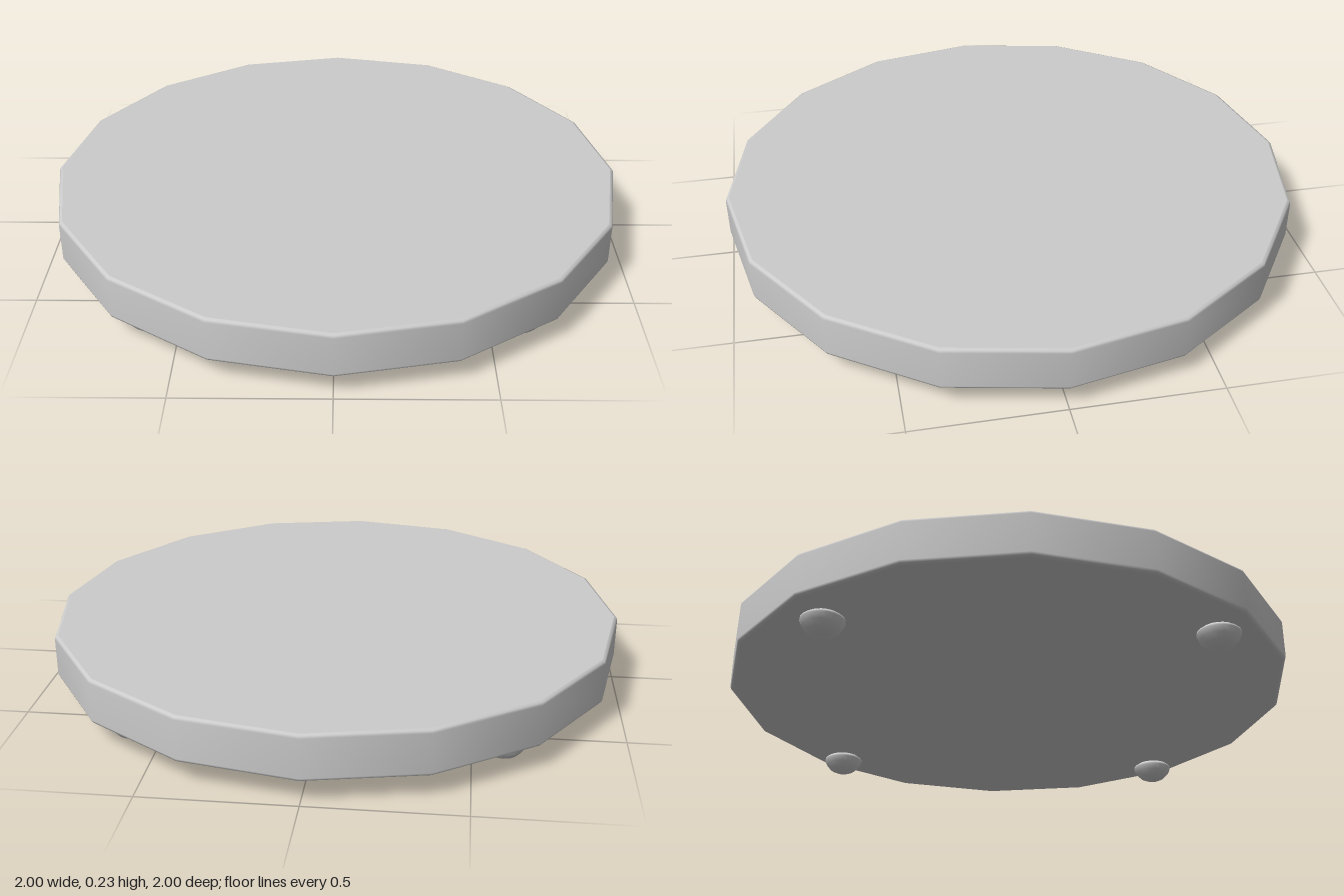
import * as THREE from 'three';

const SIDES = 16;
const BOTTOM = 0.08, TOP = 0.235, BEVEL = 0.012;

const profile = (pairs) => pairs.map(([r, y]) => new THREE.Vector2(r, y));

export function createModel() {
  const model = new THREE.Group();
  model.name = 'roundBoard';
  const grey = new THREE.MeshStandardMaterial({ color: 0xcccccc });

  const add = (parent, name, geometry) => {
    const mesh = new THREE.Mesh(geometry, grey);
    mesh.name = name;
    parent.add(mesh);
    return mesh;
  };

  // Board: sixteen-sided rim with softened edges, closed by flat faces
  const board = new THREE.Group();
  board.name = 'board';
  model.add(board);
  const inner = 1 - BEVEL;
  add(board, 'rim', new THREE.LatheGeometry(profile([
    [inner, BOTTOM],
    [1 - BEVEL * 0.3, BOTTOM + BEVEL * 0.3],
    [1, BOTTOM + BEVEL],
    [1, TOP - BEVEL],
    [1 - BEVEL * 0.3, TOP - BEVEL * 0.3],
    [inner, TOP],
  ]), SIDES));
  const face = new THREE.CircleGeometry(inner, SIDES);
  add(board, 'topFace', face.clone().rotateX(-Math.PI / 2).translate(0, TOP, 0));
  add(board, 'underside', face.clone().rotateX(Math.PI / 2).translate(0, BOTTOM, 0));

  // Feet: four small rounded knobs under the board
  const foot = new THREE.LatheGeometry(profile([
    [0, 0], [0.025, 0.003], [0.048, 0.014], [0.064, 0.031], [0.073, 0.05],
    [0.072, 0.057], [0.06, 0.066], [0.035, 0.074], [0, 0.08],
  ]), 20);
  for (const [end, z] of [['front', 0.64], ['back', -0.626]]) {
    for (const [side, x] of [['Left', 0.6], ['Right', -0.6]]) {
      add(model, `${end}${side}Foot`, foot).position.set(x, 0, z);
    }
  }
  return model;
}
